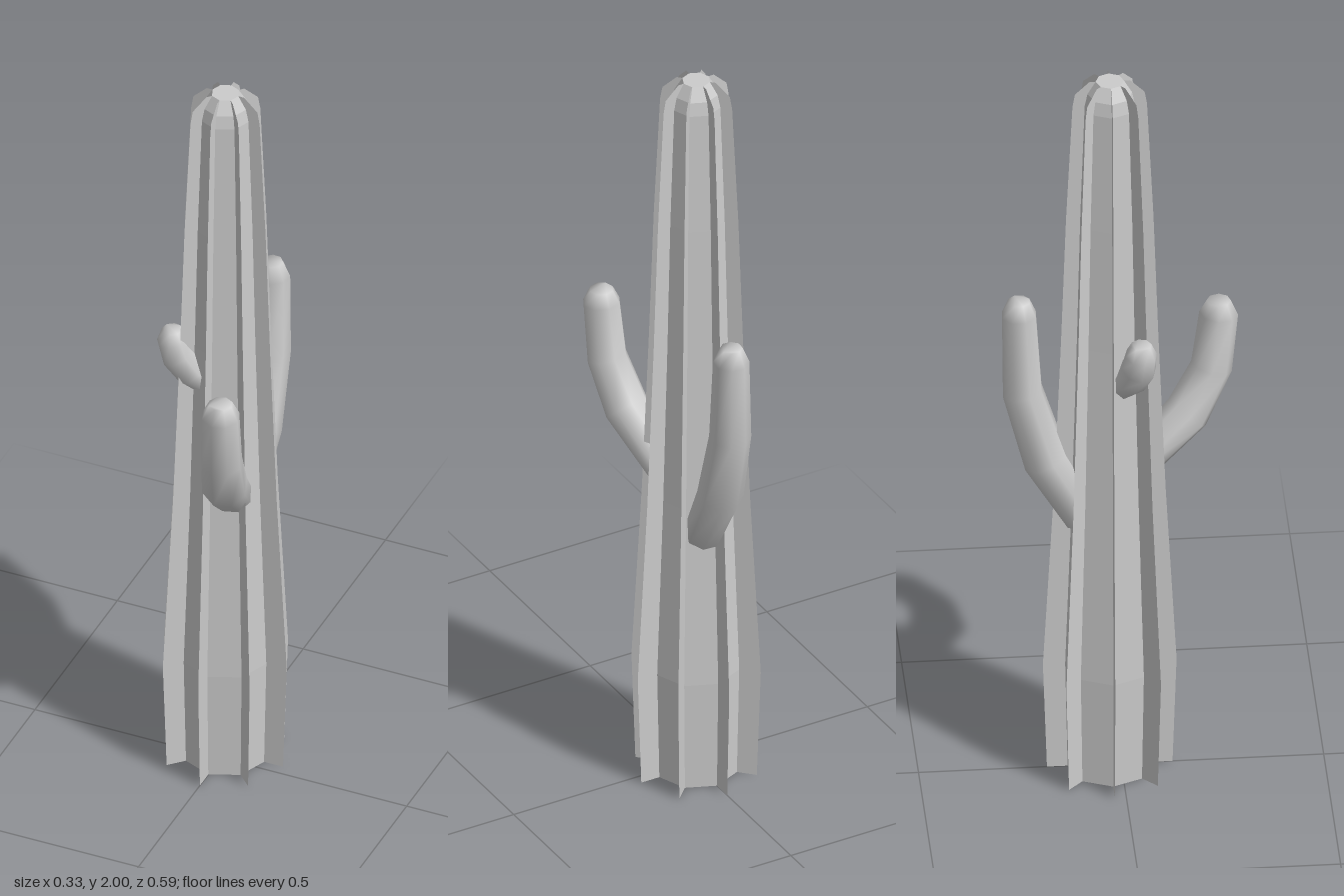
import * as THREE from 'three';

const TRUNK_Z = -0.028;
const RIBS = 8;

// trunk profiles: [core radius, rib radius, height]
const PROFILE = [
  [0.104, 0.155, 0], [0.11, 0.165, 0.3], [0.093, 0.138, 0.8], [0.081, 0.12, 1.25],
  [0.073, 0.108, 1.6], [0.062, 0.092, 1.93], [0.055, 0.086, 1.965], [0.035, 0.05, 2],
];

function makeMaterial(options = {}) {
  return new THREE.MeshStandardMaterial({ color: 0xcccccc, ...options });
}

// closed octagonal core with flat facets
function makeCore() {
  const points = [new THREE.Vector2(0, 0)];
  PROFILE.forEach(([r, , y]) => points.push(new THREE.Vector2(r, y)));
  points.push(new THREE.Vector2(0, 2));
  const core = new THREE.Mesh(new THREE.LatheGeometry(points, RIBS), makeMaterial({ flatShading: true }));
  core.name = 'trunkCore';
  return core;
}

// thin radial ribs standing on the corners of the core
function makeRibs() {
  const outline = PROFILE.map(([, r, y]) => new THREE.Vector2(r, y));
  const inner = PROFILE.map(([r, , y]) => new THREE.Vector2(r, y)).reverse();
  const geometry = new THREE.ShapeGeometry(new THREE.Shape([...outline, ...inner]));
  const material = makeMaterial({ side: THREE.DoubleSide });
  const ribs = new THREE.Group();
  ribs.name = 'ribs';
  for (let i = 0; i < RIBS; i++) {
    const rib = new THREE.Mesh(geometry, material);
    rib.name = 'rib';
    rib.rotation.y = (i / RIBS) * Math.PI * 2;
    ribs.add(rib);
  }
  return ribs;
}

// bent eight-sided arm skinned over rings given as [x, y, z, radius]
function makeArm(name, rings) {
  const centres = rings.map(([x, y, z]) => new THREE.Vector3(x, y, z));
  const last = centres.length - 1;
  const side = centres[last].clone().sub(centres[0]).setY(0).normalize()
    .cross(new THREE.Vector3(0, 1, 0)).normalize();
  const sides = 8, positions = [], index = [];
  centres.forEach((c, i) => {
    const tangent = centres[Math.min(i + 1, last)].clone()
      .sub(centres[Math.max(i - 1, 0)]).normalize();
    const u = side.clone().addScaledVector(tangent, -side.dot(tangent)).normalize();
    const v = tangent.clone().cross(u);
    for (let j = 0; j < sides; j++) {
      const a = ((j + 0.5) / sides) * Math.PI * 2;
      const p = c.clone()
        .addScaledVector(u, Math.cos(a) * rings[i][3])
        .addScaledVector(v, Math.sin(a) * rings[i][3]);
      positions.push(p.x, p.y, p.z);
    }
  });
  for (let i = 0; i < last; i++) {
    for (let j = 0; j < sides; j++) {
      const k = (j + 1) % sides;
      const a = i * sides + j, b = i * sides + k;
      index.push(a, b, b + sides, a, b + sides, a + sides);
    }
  }
  // end caps
  for (const [ring, flip] of [[0, true], [last, false]]) {
    const o = ring * sides;
    for (let j = 1; j < sides - 1; j++) {
      index.push(o, flip ? o + j + 1 : o + j, flip ? o + j : o + j + 1);
    }
  }
  const geometry = new THREE.BufferGeometry();
  geometry.setAttribute('position', new THREE.Float32BufferAttribute(positions, 3));
  geometry.setIndex(index);
  geometry.computeVertexNormals();
  const arm = new THREE.Mesh(geometry, makeMaterial());
  arm.name = name;
  return arm;
}

export function createModel() {
  const model = new THREE.Group();
  model.name = 'cactus';

  const trunk = new THREE.Group();
  trunk.name = 'trunk';
  trunk.position.z = TRUNK_Z;
  trunk.add(makeCore(), makeRibs());
  model.add(trunk);

  model.add(makeArm('frontArm', [
    [0.035, 0.82, 0.01, 0.05], [0.085, 0.965, 0.17, 0.058], [0.105, 1.085, 0.232, 0.052],
    [0.11, 1.235, 0.25, 0.048], [0.11, 1.272, 0.25, 0.03],
  ]));
  model.add(makeArm('backArm', [
    [0.015, 0.72, -0.09, 0.05], [0.02, 0.89, -0.185, 0.058], [0.025, 1.09, -0.242, 0.052],
    [0.027, 1.31, -0.25, 0.045], [0.027, 1.35, -0.25, 0.028],
  ]));
  model.add(makeArm('smallArm', [
    [-0.02, 1.11, -0.02, 0.035], [-0.07, 1.17, 0.02, 0.042], [-0.1, 1.22, 0.035, 0.044],
    [-0.112, 1.265, 0.04, 0.04], [-0.113, 1.295, 0.04, 0.026],
  ]));
  return model;
}
